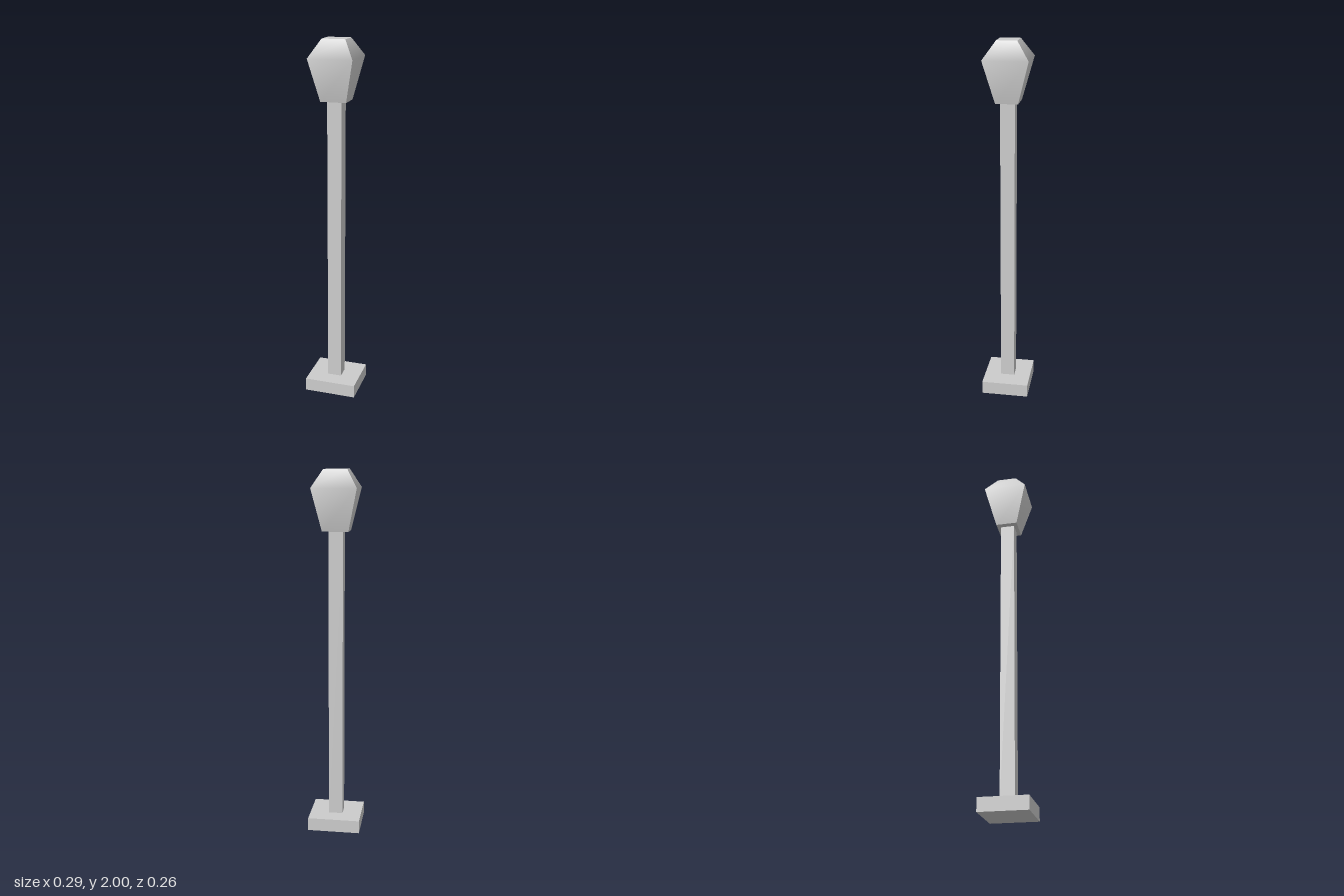
import * as THREE from 'three';

const grey = new THREE.MeshStandardMaterial({ color: 0xcccccc });
grey.name = 'light grey';

// Box standing between two heights, centred on the vertical axis
function addBlock(group, name, halfX, halfZ, y0, y1) {
  const geometry = new THREE.BoxGeometry(halfX * 2, y1 - y0, halfZ * 2);
  geometry.translate(0, (y0 + y1) / 2, 0);
  const mesh = new THREE.Mesh(geometry, grey);
  mesh.name = name;
  group.add(mesh);
}

// Lamp head: a box with one middle ring, each ring resized and moved to its height.
// Normals run smoothly up each side and break at the corners.
function lampHeadGeometry() {
  const rings = [
    { y: 1.68, x: 0.07, z: 0.06 },
    { y: 1.905, x: 0.12, z: 0.12 },
    { y: 2, x: 0.063, z: 0.054 },
  ];
  const geometry = new THREE.BoxGeometry(2, 2, 2, 1, 2, 1);
  const p = geometry.attributes.position;
  for (let i = 0; i < p.count; i++) {
    const ring = rings[Math.round(p.getY(i)) + 1];
    p.setXYZ(i, p.getX(i) * ring.x, ring.y, p.getZ(i) * ring.z);
  }
  geometry.computeVertexNormals();
  return geometry;
}

export function createModel() {
  const model = new THREE.Group();
  model.name = 'lampPost';

  addBlock(model, 'base', 0.145, 0.131, 0, 0.073);
  addBlock(model, 'post', 0.039, 0.039, 0.073, 1.68);

  const head = new THREE.Mesh(lampHeadGeometry(), grey);
  head.name = 'lampHead';
  model.add(head);

  return model;
}
